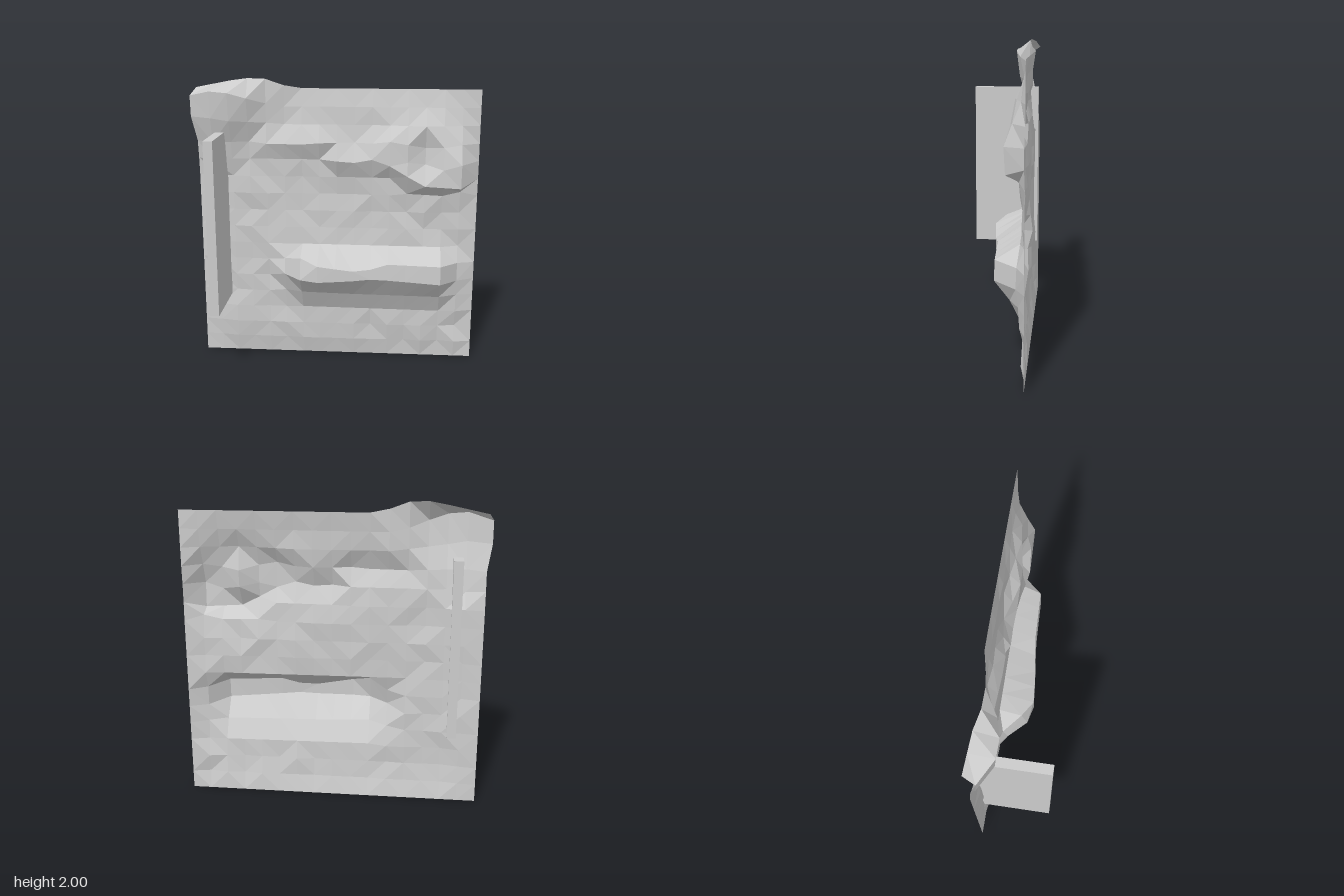
import * as THREE from 'three';

const N = 16, X0 = -0.95, STEP_X = 1.935 / N, STEP_Y = 1.93 / N, BACK = -0.24;

// Ridges: grid row number, then a polyline of [x, y, z] that the row follows.
const lowerLedge = [
  [3, [[-0.24, 0.37, -0.2], [0.87, 0.36, -0.205]]],
  [4, [[-0.36, 0.5, -0.195], [-0.22, 0.51, -0.12], [0.1, 0.5, -0.13], [0.75, 0.49, -0.14], [0.87, 0.49, -0.2]]],
  [5, [[-0.36, 0.64, -0.14], [-0.22, 0.635, 0], [-0.1, 0.63, 0.025], [0.14, 0.64, 0], [0.26, 0.65, -0.015],
    [0.4, 0.64, -0.03], [0.76, 0.61, -0.045], [0.87, 0.6, -0.19]]],
  [6, [[-0.36, 0.74, -0.17], [-0.22, 0.785, -0.04], [-0.1, 0.745, 0.025], [0.14, 0.71, 0], [0.26, 0.72, -0.02],
    [0.38, 0.755, -0.035], [0.76, 0.74, -0.05], [0.87, 0.73, -0.195]]],
  [7, [[-0.24, 0.845, -0.195], [0.75, 0.84, -0.2]]],
];
const upperLedge = [
  [12, [[-0.48, 1.45, -0.2], [-0.1, 1.45, -0.2]]],
  [13, [[-0.48, 1.56, -0.165], [-0.22, 1.56, -0.15], [-0.1, 1.57, -0.15]]],
  [11, [[0, 1.33, -0.2], [0.39, 1.33, -0.19]]],
  [12, [[0, 1.45, -0.14], [0.14, 1.44, -0.145], [0.24, 1.47, -0.14], [0.39, 1.42, -0.13]]],
  [13, [[0, 1.57, -0.18], [0.14, 1.57, -0.2], [0.26, 1.57, -0.165], [0.39, 1.59, -0.13]]],
];
const boulder = [
  [10, [[0.48, 1.22, -0.195], [0.75, 1.21, -0.19], [0.87, 1.24, -0.2]]],
  [11, [[0.49, 1.36, -0.12], [0.62, 1.29, -0.11], [0.87, 1.275, -0.12], [0.99, 1.33, -0.24]]],
  [12, [[0.49, 1.45, -0.13], [0.62, 1.43, -0.19], [0.74, 1.4, -0.12], [0.87, 1.44, -0.11], [0.99, 1.45, -0.24]]],
  [13, [[0.49, 1.57, -0.13], [0.62, 1.54, -0.2], [0.74, 1.55, -0.14], [0.87, 1.57, -0.16]]],
  [14, [[0.37, 1.69, -0.2], [0.62, 1.69, -0.16], [0.74, 1.69, -0.175], [0.87, 1.69, -0.21]]],
];
const cornerBulge = [
  [16, [[-0.96, 1.93, -0.24], [-0.71, 1.98, -0.22], [-0.58, 2, -0.19], [-0.46, 1.995, -0.19],
    [-0.34, 1.95, -0.21], [-0.22, 1.93, -0.24]]],
  [15, [[-0.96, 1.88, -0.17], [-0.83, 1.92, -0.075], [-0.71, 1.91, -0.075], [-0.58, 1.87, -0.11], [-0.46, 1.83, -0.185]]],
  [14, [[-0.96, 1.74, -0.18], [-0.83, 1.74, -0.09], [-0.71, 1.72, -0.1], [-0.46, 1.7, -0.19]]],
  [13, [[-0.96, 1.57, -0.22], [-0.83, 1.57, -0.14], [-0.71, 1.57, -0.16], [-0.58, 1.57, -0.195]]],
  [12, [[-0.96, 1.45, -0.235], [-0.83, 1.43, -0.17], [-0.7, 1.45, -0.185]]],
];
const ridges = [...lowerLedge, ...upperLedge, ...boulder, ...cornerBulge];

// Repeatable roughness in -1..1 for a grid point
function rough(i, j) {
  const s = Math.sin(i * 127.1 + j * 311.7) * 43758.5453;
  return 2 * (s - Math.floor(s)) - 1;
}

// Follow a polyline at x, or return null outside its span
function follow(line, x) {
  for (let k = 0; k + 1 < line.length; k++) {
    const [a, b] = [line[k], line[k + 1]];
    if (x < a[0] || x > b[0]) continue;
    const t = (x - a[0]) / (b[0] - a[0]);
    return [THREE.MathUtils.lerp(a[1], b[1], t), THREE.MathUtils.lerp(a[2], b[2], t)];
  }
  return null;
}

function wallPoint(i, j) {
  // Flat border, rising to rough rock further in
  const x = X0 + i * STEP_X;
  const ring = Math.min(i, j, N - i, N - j);
  let y = j * STEP_Y;
  let z = ring === 0 ? BACK : [-0.224, -0.21, -0.204][Math.min(ring, 3) - 1] + 0.013 * rough(i, j);
  for (const [row, line] of ridges) {
    const p = row === j && follow(line, x);
    if (p) [y, z] = p;
  }
  // The corner bulge overhangs the left border
  const overhang = i === 0 && (j === 14 || j === 15) ? -0.03 : 0;
  return new THREE.Vector3(x + overhang, y, z);
}

function createWall() {
  const points = [];
  for (let j = 0; j <= N; j++) {
    for (let i = 0; i <= N; i++) points.push(wallPoint(i, j));
  }
  // Split each cell along its shorter diagonal so facets follow the ridges
  const index = [];
  for (let j = 0; j < N; j++) {
    for (let i = 0; i < N; i++) {
      const a = j * (N + 1) + i, b = a + 1, c = b + N + 1, d = a + N + 1;
      if (points[a].distanceTo(points[c]) < points[b].distanceTo(points[d])) index.push(a, b, c, a, c, d);
      else index.push(a, b, d, b, c, d);
    }
  }
  const indexed = new THREE.BufferGeometry().setFromPoints(points);
  indexed.setIndex(index);
  const geometry = indexed.toNonIndexed();
  geometry.computeVertexNormals();
  const mesh = new THREE.Mesh(geometry, new THREE.MeshStandardMaterial({
    color: 0xcccccc, flatShading: true, side: THREE.DoubleSide,
  }));
  mesh.name = 'rockWall';
  return mesh;
}

export function createModel() {
  const group = new THREE.Group();
  group.name = 'rockWallPanel';
  group.add(createWall());

  // Upright slab passing through the wall
  const slab = new THREE.Mesh(
    new THREE.BoxGeometry(0.062, 1.19, 0.475),
    new THREE.MeshStandardMaterial({ color: 0xcccccc, flatShading: true }),
  );
  slab.name = 'uprightSlab';
  slab.position.set(-0.777, 1.045, 0);
  group.add(slab);
  return group;
}
